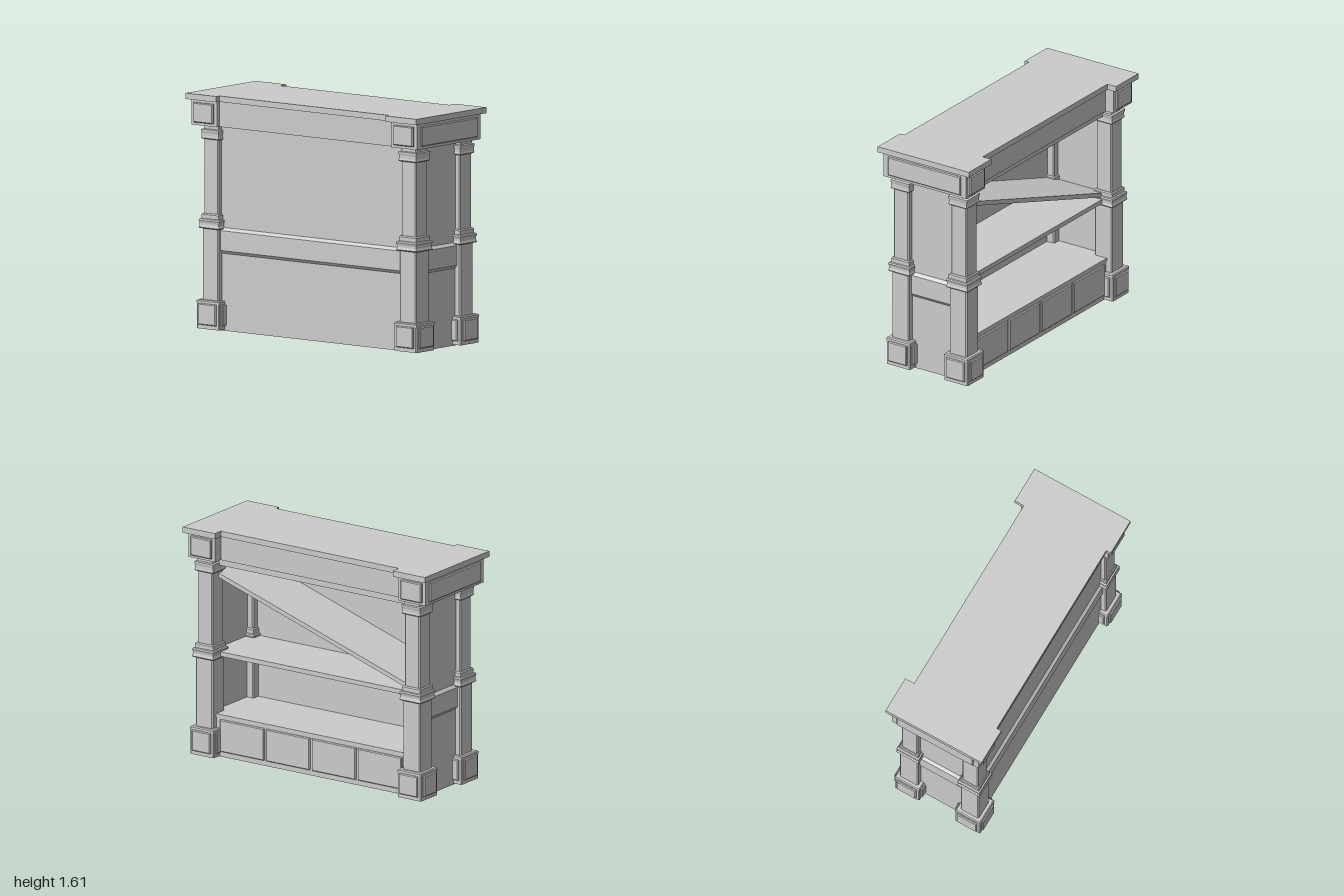
import * as THREE from 'three';

const material = new THREE.MeshStandardMaterial({ color: 0xcccccc, flatShading: true });

export function createModel() {
  const model = new THREE.Group();
  const add = (name, geometry, parent = model) => {
    const mesh = new THREE.Mesh(geometry, material);
    mesh.name = name;
    parent.add(mesh);
    return mesh;
  };

  // Box given by its min and max on each axis
  const box = (name, x0, x1, y0, y1, z0, z1, parent) => {
    const mesh = add(name, new THREE.BoxGeometry(x1 - x0, y1 - y0, z1 - z0), parent);
    mesh.position.set((x0 + x1) / 2, (y0 + y1) / 2, (z0 + z1) / 2);
    return mesh;
  };

  // Square moulding turned from [half width, y] pairs
  const square = (name, profile, parent) => {
    const pts = profile.map(([h, y]) => new THREE.Vector2(h * Math.SQRT2, y));
    return add(name, new THREE.LatheGeometry(pts, 4, Math.PI / 4), parent);
  };

  // Square outline with chamfered corners
  const chamferedSquare = (h, c) => new THREE.Shape([
    [h, -h + c], [h, h - c], [h - c, h], [-h + c, h],
    [-h, h - c], [-h, -h + c], [-h + c, -h], [h - c, -h],
  ].map(([x, y]) => new THREE.Vector2(x, y)));

  const upright = (name, shape, y0, y1, parent) => {
    const g = new THREE.ExtrudeGeometry(shape, { depth: y1 - y0, bevelEnabled: false });
    g.rotateX(-Math.PI / 2).translate(0, y0, 0);
    return add(name, g, parent);
  };

  // Raised panel with bevelled rim; angle 0 faces +z, PI/2 faces +x
  const panel = (name, w, h, d, x, y, z, angle, parent) => {
    const b = 0.006;
    const a = w / 2 - b, e = h / 2 - b;
    const shape = new THREE.Shape([[-a, -e], [a, -e], [a, e], [-a, e]].map((p) => new THREE.Vector2(...p)));
    const g = new THREE.ExtrudeGeometry(shape, {
      depth: d - b, bevelThickness: b, bevelSize: b, bevelSegments: 1,
    });
    const mesh = add(name, g, parent);
    mesh.position.set(x, y, z);
    mesh.rotation.y = angle;
    return mesh;
  };

  // Four posts: panelled plinth, lower shaft, collar, upper shaft, capital
  for (const x of [-0.232, 0.24]) {
    for (const z of [0.867, -0.845]) {
      const post = new THREE.Group();
      post.name = 'cornerPost';
      post.position.set(x, 0, z);
      model.add(post);

      const plinth = chamferedSquare(0.097, 0.006);
      const i = 0.08;
      plinth.holes.push(new THREE.Path([[-i, -i], [-i, i], [i, i], [i, -i]].map((p) => new THREE.Vector2(...p))));
      upright('plinth', plinth, 0.008, 0.195, post);
      square('plinthTop', [[0, 0.18], [0.097, 0.18], [0.097, 0.197], [0.09, 0.204], [0, 0.204]], post);
      for (let k = 0; k < 4; k++) {
        const a = k * Math.PI / 2;
        panel('plinthPanel', 0.15, 0.145, 0.014, Math.sin(a) * 0.096, 0.108, Math.cos(a) * 0.096, a, post);
      }
      upright('lowerShaft', chamferedSquare(0.071, 0.008), 0.18, 0.7, post);
      upright('upperShaft', chamferedSquare(0.063, 0.008), 0.78, 1.39, post);
      square('collar', [
        [0, 0.688], [0.082, 0.688], [0.088, 0.695], [0.083, 0.712], [0.083, 0.725],
        [0.088, 0.742], [0.084, 0.752], [0.074, 0.755], [0.074, 0.782], [0.068, 0.79], [0, 0.79],
      ], post);
      square('capital', [
        [0, 1.295], [0.07, 1.295], [0.076, 1.302], [0.073, 1.315], [0.073, 1.335],
        [0.077, 1.35], [0.077, 1.36], [0.063, 1.364], [0.063, 1.39], [0, 1.39],
      ], post);
    }
  }

  // Walls with a projecting middle rail, drawn as (outward, y) and run along the wall
  const wallShape = new THREE.Shape([
    [0, 0], [0.045, 0], [0.045, 0.525], [0.06, 0.545], [0.06, 0.68], [0.04, 0.7], [0.04, 1.39], [0, 1.39],
  ].map((p) => new THREE.Vector2(...p)));
  const wall = (name, length, x, z, angle) => {
    const g = new THREE.ExtrudeGeometry(wallShape, { depth: length, bevelEnabled: false });
    g.translate(0, 0, -length / 2);
    const mesh = add(name, g);
    mesh.position.set(x, 0, z);
    mesh.rotation.y = angle;
  };
  wall('frontEndWall', 0.47, 0.004, 0.85, -Math.PI / 2);
  wall('rearEndWall', 0.47, 0.004, -0.83, Math.PI / 2);
  wall('backWall', 1.71, -0.22, 0.011, Math.PI);

  // Shelves and ceiling
  box('ceiling', -0.22, 0.24, 1.34, 1.39, -0.83, 0.85);
  box('middleShelf', -0.22, 0.24, 0.7, 0.732, -0.83, 0.85);
  box('bottomShelf', -0.22, 0.27, 0.28, 0.302, -0.83, 0.85);

  // Sloping shelf, a parallelogram run across the depth
  const slope = new THREE.Shape([
    [-0.83, 0.722], [0.85, 1.263], [0.85, 1.295], [-0.83, 0.754],
  ].map(([z, y]) => new THREE.Vector2(-z, y)).reverse());
  const slopeGeometry = new THREE.ExtrudeGeometry(slope, { depth: 0.45, bevelEnabled: false });
  slopeGeometry.rotateY(Math.PI / 2).translate(-0.22, 0, 0);
  add('slopingShelf', slopeGeometry);

  // Base board with four raised panels
  box('baseBoard', 0.235, 0.265, 0.005, 0.28, -0.83, 0.85);
  for (let k = 0; k < 4; k++) {
    panel('basePanel', 0.362, 0.225, 0.015, 0.264, 0.155, 0.58 - k * 0.379, Math.PI / 2);
  }

  // Frieze and panelled end blocks
  box('frieze', -0.31, 0.27, 1.39, 1.567, -0.77, 0.77);
  for (const s of [1, -1]) {
    const block = new THREE.Group();
    block.name = 'endBlock';
    model.add(block);
    const inner = s * 0.758, outer = s * 0.978, mid = (inner + outer) / 2;
    box('blockBody', -0.34, 0.335, 1.39, 1.567, Math.min(inner, outer), Math.max(inner, outer), block);
    panel('endPanel', 0.595, 0.135, 0.013, -0.003, 1.477, s * 0.977, s > 0 ? 0 : Math.PI, block);
    panel('sidePanel', 0.17, 0.135, 0.019, 0.334, 1.477, mid, Math.PI / 2, block);
    panel('sidePanel', 0.17, 0.135, 0.019, -0.339, 1.477, mid, -Math.PI / 2, block);
  }

  // Top slab, wider over the end blocks
  const top = new THREE.Shape([
    [-0.375, -1], [0.372, -1], [0.372, -0.735], [0.302, -0.735], [0.302, 0.735], [0.372, 0.735],
    [0.372, 1], [-0.375, 1], [-0.375, 0.735], [-0.34, 0.735], [-0.34, -0.735], [-0.375, -0.735],
  ].map((p) => new THREE.Vector2(...p)));
  upright('topSlab', top, 1.565, 1.605);

  return model;
}
